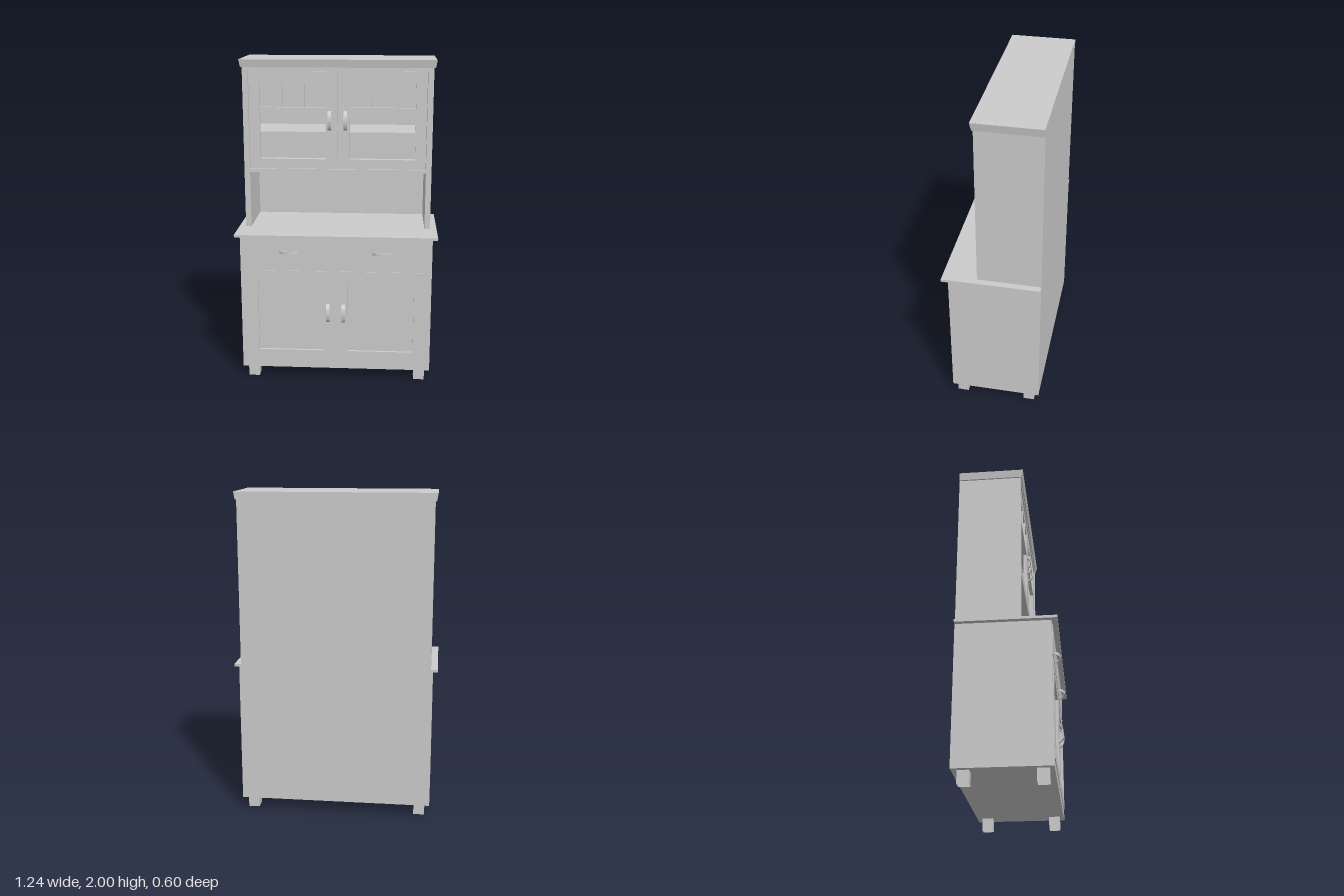
import * as THREE from 'three';

const mat = new THREE.MeshStandardMaterial({ color: 0xcccccc });
const openMat = new THREE.MeshStandardMaterial({ color: 0xcccccc, side: THREE.DoubleSide });

function add(parent, name, geometry, material = mat) {
  const mesh = new THREE.Mesh(geometry, material);
  mesh.name = name;
  parent.add(mesh);
  return mesh;
}

// Box given by its limits on each axis
function box(parent, name, x0, x1, y0, y1, z0, z1) {
  const mesh = add(parent, name, new THREE.BoxGeometry(x1 - x0, y1 - y0, z1 - z0));
  mesh.position.set((x0 + x1) / 2, (y0 + y1) / 2, (z0 + z1) / 2);
  return mesh;
}

// Flat board with rectangular openings, each [x0, x1, y0, y1]
function board(parent, name, outer, holes, z0, z1) {
  const outline = (path, [x0, x1, y0, y1]) =>
    path.moveTo(x0, y0).lineTo(x1, y0).lineTo(x1, y1).lineTo(x0, y1).closePath();
  const shape = outline(new THREE.Shape(), outer);
  holes.forEach((h) => shape.holes.push(outline(new THREE.Path(), h)));
  const mesh = add(parent, name, new THREE.ExtrudeGeometry(shape, { depth: z1 - z0, bevelEnabled: false }));
  mesh.position.z = z0;
  return mesh;
}

// Bowed strap handle, 0.12 long and standing 0.032 proud
function handle(parent, name, x, y, z, width, horizontal) {
  const shape = new THREE.Shape();
  const n = 14;
  for (let i = 0; i <= n; i++) {
    const a = (i / n) * Math.PI;
    shape[i ? 'lineTo' : 'moveTo'](0.032 * Math.sin(a), -0.06 * Math.cos(a));
  }
  for (let i = n; i >= 0; i--) {
    const a = (i / n) * Math.PI;
    shape.lineTo(0.026 * Math.sin(a), -0.053 * Math.cos(a));
  }
  const geo = new THREE.ExtrudeGeometry(shape, { depth: width, bevelEnabled: false });
  geo.translate(0, 0, -width / 2);
  geo.rotateY(-Math.PI / 2);
  if (horizontal) geo.rotateZ(Math.PI / 2);
  add(parent, name, geo).position.set(x, y, z);
}

const mirror = ([x0, x1, y0, y1]) => [-x1, -x0, y0, y1];

export function createModel() {
  const model = new THREE.Group();
  model.name = 'kitchenDresser';
  const base = new THREE.Group();
  base.name = 'baseCabinet';
  const hutch = new THREE.Group();
  hutch.name = 'upperCabinet';
  model.add(base, hutch);

  // Base carcass, face frame and worktop
  const panel = [0.075, 0.485, 0.195, 0.655];
  box(base, 'baseCarcass', -0.592, 0.592, 0.075, 0.94, -0.3, 0.248);
  board(base, 'baseFaceFrame', [-0.592, 0.592, 0.075, 0.94], [panel, mirror(panel)], 0.248, 0.26);
  box(base, 'worktop', -0.622, 0.622, 0.939, 0.955, -0.3, 0.295);

  // Upper carcass: back, sides, top, floor and shelf around an open niche
  box(hutch, 'backPanel', -0.546, 0.546, 0.955, 1.955, -0.3, -0.285);
  box(hutch, 'cabinetTop', -0.546, 0.546, 1.93, 1.955, -0.285, 0.085);
  box(hutch, 'cabinetFloor', -0.546, 0.546, 1.305, 1.328, -0.285, 0.08);
  box(hutch, 'shelf', -0.546, 0.546, 1.542, 1.555, -0.285, 0.045);

  // Window openings: one wide pane below three small ones
  const panes = [
    [0.075, 0.478, 1.39, 1.7],
    [0.075, 0.204, 1.71, 1.864],
    [0.211, 0.339, 1.71, 1.864],
    [0.346, 0.478, 1.71, 1.864],
  ];

  for (const s of [1, -1]) {
    const side = (r) => (s > 0 ? r : mirror(r));
    const span = (a, b) => (s > 0 ? [a, b] : [-b, -a]);

    // Lower door and drawer fronts, slightly proud of the frame
    board(base, 'lowerDoor', side([0.017, 0.546, 0.13, 0.722]), [side(panel)], 0.26, 0.264);
    box(base, 'drawerFront', ...span(0.01, 0.546), 0.745, 0.935, 0.26, 0.264);
    handle(base, 'drawerHandle', s * 0.286, 0.843, 0.264, 0.018, true);
    handle(base, 'lowerDoorHandle', s * 0.048, 0.448, 0.262, 0.022, false);

    // Side panels and glazed doors set back between them
    box(hutch, 'sidePanel', ...span(0.546, 0.581), 0.955, 1.955, -0.3, 0.085);
    board(hutch, 'upperDoor', side([0.002, 0.544, 1.33, 1.929]), panes.map(side), 0.056, 0.078);
    handle(hutch, 'upperDoorHandle', s * 0.048, 1.63, 0.08, 0.022, false);

    // Square hollow feet
    for (const z of [0.2, -0.233]) {
      const geo = new THREE.CylinderGeometry(0.0481, 0.0481, 0.075, 4, 1, true).toNonIndexed();
      geo.rotateY(Math.PI / 4);
      geo.computeVertexNormals();
      add(base, 'foot', geo, openMat).position.set(s * 0.527, 0.0375, z);
    }
  }

  // Crown board, narrowing towards its lower edge on the front and sides
  const crown = new THREE.BoxGeometry(1.196, 0.048, 0.4);
  const p = crown.attributes.position;
  for (let i = 0; i < p.count; i++) {
    if (p.getY(i) > 0) continue;
    p.setX(i, p.getX(i) - Math.sign(p.getX(i)) * 0.008);
    if (p.getZ(i) > 0) p.setZ(i, p.getZ(i) - 0.009);
  }
  crown.computeVertexNormals();
  add(hutch, 'crown', crown).position.set(0, 1.976, -0.1);

  return model;
}
